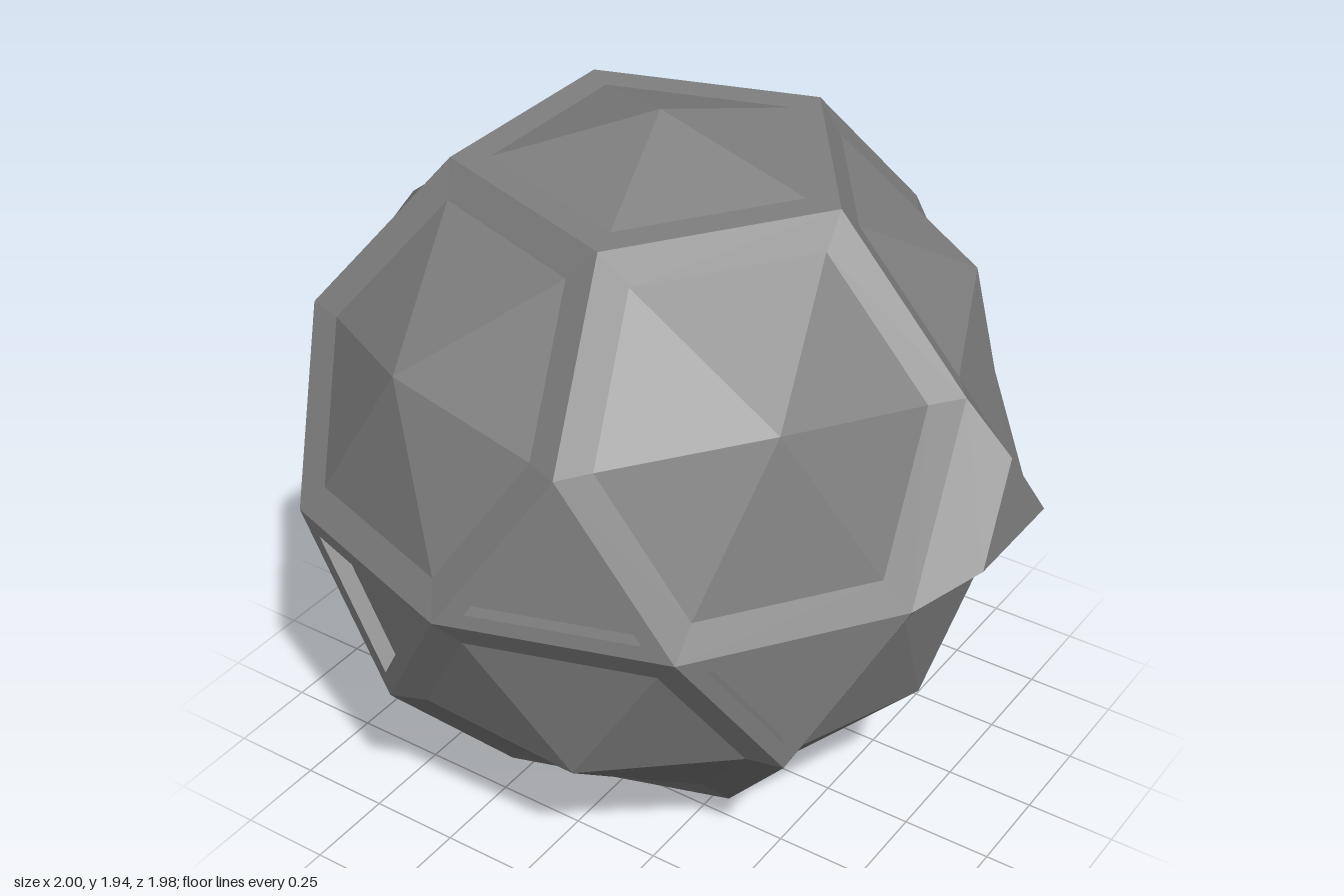
import * as THREE from 'three';

const R = 0.99;                    // equator radius
const CENTRE = [-0.057, 0.97, 0];  // centre of the ball

// Point from azimuth in degrees, radius and height
function polar(deg, r, y) {
  const a = THREE.MathUtils.degToRad(deg);
  return new THREE.Vector3(r * Math.cos(a), y, r * Math.sin(a));
}

// Panel made of concentric rings (each a scale and a lift), closed by a fan to its tip
function panel(name, corners, rings, tipLift, material) {
  const n = corners.length;
  const centre = new THREE.Vector3();
  corners.forEach((p) => centre.addScaledVector(p, 1 / n));
  const normal = corners[1].clone().sub(corners[0]).cross(corners[2].clone().sub(corners[1])).normalize();
  let loop = corners;
  if (normal.dot(centre) < 0) {
    loop = corners.slice().reverse();
    normal.negate();
  }
  // Hexagons are slightly bent, so lift them along the ball's radius
  if (n > 3) normal.copy(centre).normalize();

  const loops = rings.map(([scale, lift]) => loop.map((p) =>
    p.clone().sub(centre).multiplyScalar(scale).add(centre).addScaledVector(normal, lift)));
  const tip = centre.clone().addScaledVector(normal, tipLift);

  const points = [];
  for (let i = 0; i < n; i++) {
    const j = (i + 1) % n;
    for (let k = 0; k + 1 < loops.length; k++) {
      const a = loops[k], b = loops[k + 1];
      points.push(a[i], a[j], b[j], a[i], b[j], b[i]);
    }
    const last = loops[loops.length - 1];
    points.push(last[i], last[j], tip);
  }
  const geometry = new THREE.BufferGeometry().setFromPoints(points);
  geometry.computeVertexNormals();
  const mesh = new THREE.Mesh(geometry, material);
  mesh.name = name;
  return mesh;
}

export function createModel() {
  const model = new THREE.Group();
  model.name = 'facetedBall';
  const grey = new THREE.MeshStandardMaterial({ color: 0x808080, flatShading: true });
  grey.name = 'grey';

  const framed = [[1, 0], [0.81, 0]];                 // flat frame around a low pyramid
  const pit = [[1, 0], [0.73, 0], [0.73, -0.045]];    // recessed triangle
  const stud = [[1, 0], [0.53, 0.12]];                // raised triangle

  // The lower half mirrors the upper one, turned by 36 degrees
  for (const side of [1, -1]) {
    const half = new THREE.Group();
    half.name = side > 0 ? 'upperHalf' : 'lowerHalf';
    model.add(half);
    const turn = side > 0 ? 0 : 36;
    const top = (deg) => polar(deg + turn, 0.526, 0.847 * side);
    const middle = (deg) => polar(deg + turn, 0.895, 0.44 * side);
    const equator = (deg) => polar(deg + turn, R, 0);

    // Pentagon at the pole
    half.add(panel('polePentagon', [0, 72, 144, 216, 288].map(top), framed, 0.123, grey));

    for (let i = 0; i < 5; i++) {
      const a = i * 72;
      // Hexagon between two pole corners and the equator
      half.add(panel('hexagonPanel', [
        top(a), top(a + 72), middle(a + 72), equator(a + 54), equator(a + 18), middle(a),
      ], framed, 0.142, grey));

      // Triangle standing on the equator; one is raised, the rest are recessed
      const raised = side > 0 && i === 0;
      half.add(panel(raised ? 'raisedTriangle' : 'recessedTriangle',
        [middle(a), equator(a + 18), equator(a - 18)],
        raised ? stud : pit, raised ? 0.12 : -0.045, grey));
    }
  }

  model.children.forEach((half) => half.position.set(...CENTRE));
  return model;
}
